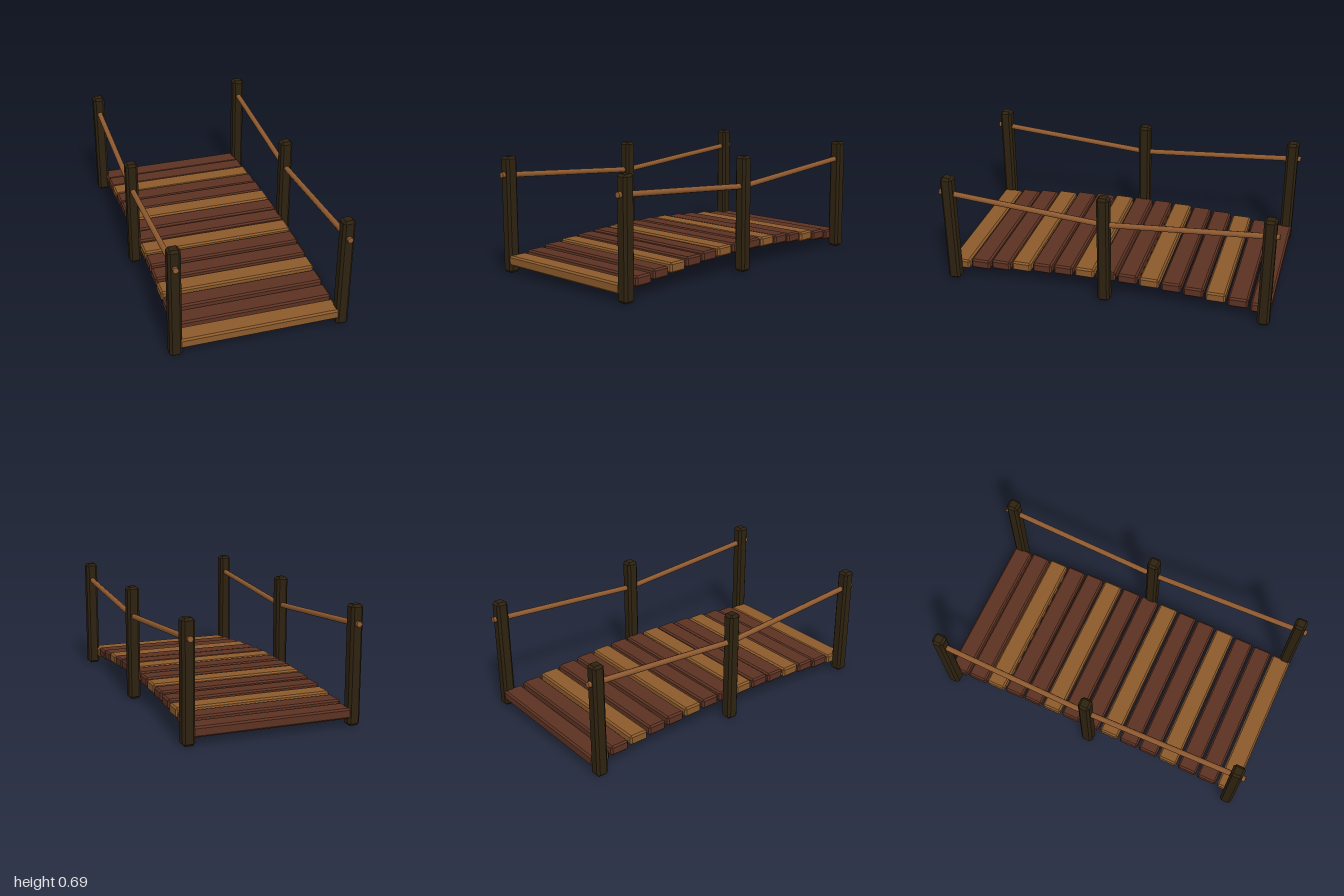
import * as THREE from 'three';
import { ConvexGeometry } from 'three/addons/geometries/ConvexGeometry.js';

const material = (name, color) => {
  const m = new THREE.MeshStandardMaterial({ color });
  m.name = name;
  return m;
};

// Box with all twelve edges chamfered by c
function chamferedBox(w, h, d, c) {
  const points = [];
  for (const x of [-1, 1]) for (const y of [-1, 1]) for (const z of [-1, 1]) {
    for (let axis = 0; axis < 3; axis++) {
      const inset = [c, c, c];
      inset[axis] = 0;
      points.push(new THREE.Vector3(
        x * (w / 2 - inset[0]), y * (h / 2 - inset[1]), z * (d / 2 - inset[2])));
    }
  }
  return new ConvexGeometry(points);
}

export function createModel() {
  const bridge = new THREE.Group();
  bridge.name = 'footbridge';

  const lightWood = material('light wood', 0x8b5a2b);
  const darkWood = material('dark wood', 0x5c3222);
  const postWood = material('post wood', 0x2e2210);
  const ropeFibre = material('rope', 0x8f5a30);

  const add = (name, geometry, mat, x, y, z) => {
    const mesh = new THREE.Mesh(geometry, mat);
    mesh.name = name;
    mesh.position.set(x, y, z);
    bridge.add(mesh);
    return mesh;
  };

  // Arched deck, front to back, every third plank light
  const count = 15;
  const plankGeometry = chamferedBox(0.932, 0.06, 0.118, 0.01);
  for (let i = 0; i < count; i++) {
    const t = i / (count - 1);
    const y = 0.075 + 0.065 * Math.sin(Math.PI * t);
    add(`plank${i + 1}`, plankGeometry, i % 3 === 0 ? lightWood : darkWood,
      0, y, 0.921 * (1 - 2 * t));
  }

  // Posts and sagging hand ropes on both sides
  const postGeometry = chamferedBox(0.072, 0.685, 0.072, 0.014);
  const ropeEnd = 0.58, ropeMiddle = 0.505;
  const ropeGeometry = new THREE.CylinderGeometry(0.017, 0.017,
    Math.hypot(1, ropeEnd - ropeMiddle), 8);
  for (const side of [-1, 1]) {
    const label = side > 0 ? 'left' : 'right';
    const x = side * 0.486;
    for (const [place, z] of [['Front', 0.945], ['Middle', 0], ['Back', -0.945]]) {
      add(`${label}${place}Post`, postGeometry, postWood, x, 0.3425, z);
    }
    for (const end of [-1, 1]) {
      const rope = add(`${label}${end > 0 ? 'Front' : 'Back'}Rope`, ropeGeometry,
        ropeFibre, x, (ropeEnd + ropeMiddle) / 2, end * 0.5);
      rope.rotation.x = end * Math.atan2(1, ropeEnd - ropeMiddle);
    }
  }
  return bridge;
}
